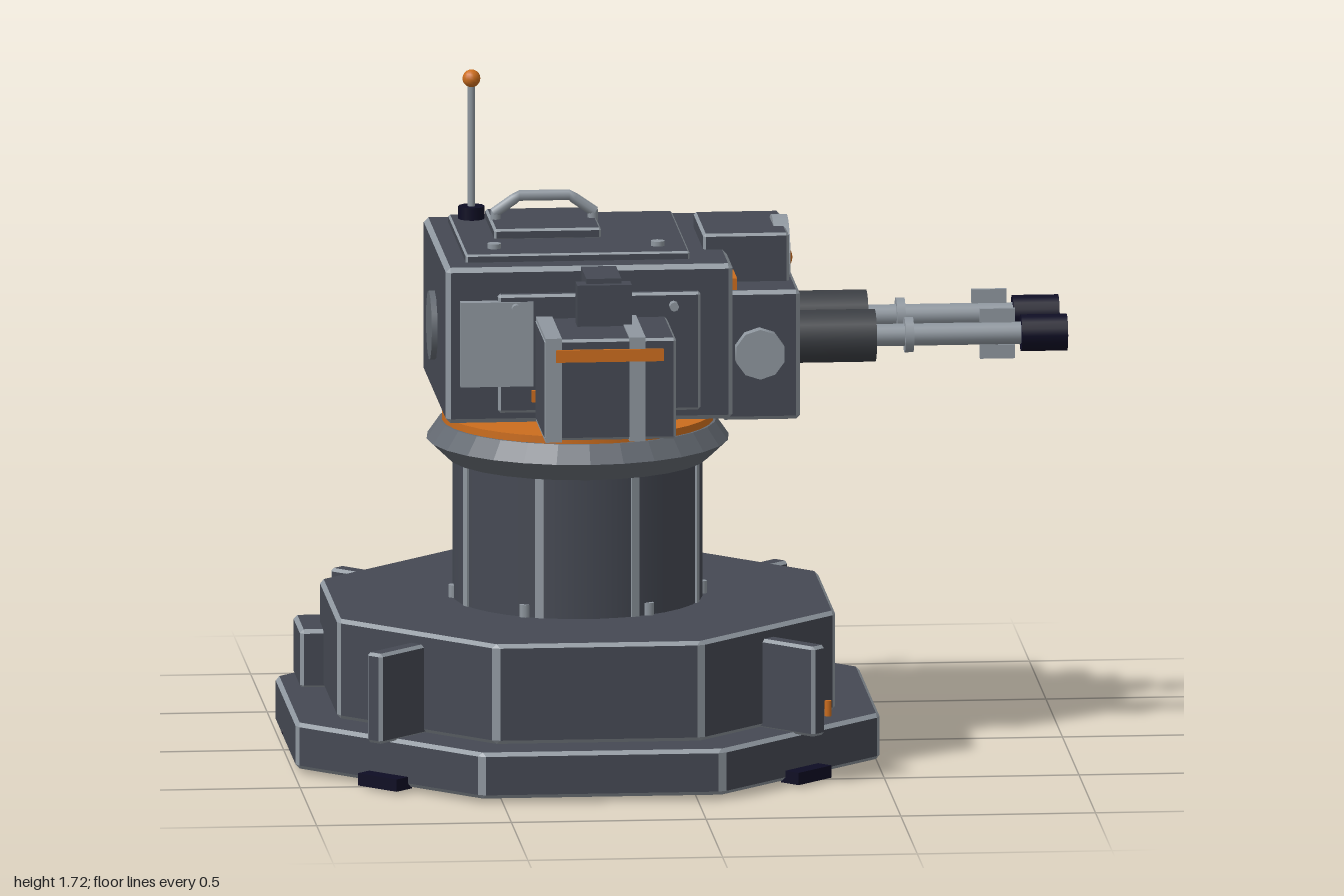
import * as THREE from 'three';

const mat = (name, color) => {
  const m = new THREE.MeshStandardMaterial({ color });
  m.name = name;
  return m;
};

// Prism over a convex inner outline [x, z], pushed out by c, with light chamfered edges.
function chamferPrism(outline, h, c, widen = 0) {
  const face = [], trim = [], n = outline.length;
  const quad = (l, a, b, d, e) => l.push(...a, ...b, ...d, ...a, ...d, ...e);
  const dir = i => {
    const p = outline[i % n], q = outline[(i + 1) % n];
    const len = Math.hypot(q[0] - p[0], q[1] - p[1]);
    return [(q[0] - p[0]) / len, (q[1] - p[1]) / len];
  };
  const corner = i => {
    i %= n;
    const [x, z] = outline[i], d0 = dir(i + n - 1), d1 = dir(i);
    const a = [x + d0[1] * c - d0[0] * widen, z - d0[0] * c - d0[1] * widen];
    const b = [x + d1[1] * c + d1[0] * widen, z - d1[0] * c + d1[1] * widen];
    const at = (p, y) => [p[0], y - h / 2, p[1]];
    return {
      a0: at(a, c), a1: at(a, h - c), b0: at(b, c), b1: at(b, h - c),
      o0: at([x, z], 0), o1: at([x, z], h)
    };
  };
  const first = corner(0);
  for (let i = 0; i < n; i++) {
    const p = corner(i), q = corner(i + 1);
    quad(face, p.b0, p.b1, q.a1, q.a0);
    if (i > 0 && i < n - 1) {
      face.push(...first.o1, ...q.o1, ...p.o1, ...first.o0, ...p.o0, ...q.o0);
    }
    quad(trim, p.a0, p.a1, p.b1, p.b0);
    quad(trim, p.b1, p.o1, q.o1, q.a1);
    quad(trim, p.o0, p.b0, q.a0, q.o0);
    trim.push(...p.a1, ...p.o1, ...p.b1, ...p.o0, ...p.a0, ...p.b0);
  }
  const g = new THREE.BufferGeometry();
  g.setAttribute('position', new THREE.Float32BufferAttribute([...face, ...trim], 3));
  g.addGroup(0, face.length / 3, 0);
  g.addGroup(face.length / 3, trim.length / 3, 1);
  g.computeVertexNormals();
  return g;
}

export function createModel() {
  const root = new THREE.Group();
  const hull = mat('dark hull', 0x454953), light = mat('light edge steel', 0x8f979f);
  const sleeveMat = mat('gun sleeve', 0x3b3e43), collarMat = mat('collar grey', 0x646a72);
  const orange = mat('orange', 0xcb6d1e), amber = mat('amber lens', 0x9a5412);
  const navy = mat('navy black', 0x0e0d24);
  const CX = -0.245;

  const add = (name, geo, m, x = 0, y = 0, z = 0, parent = root) => {
    const o = new THREE.Mesh(geo, m);
    o.name = name;
    o.position.set(x, y, z);
    parent.add(o);
    return o;
  };
  // Boxes are given by their extents
  const box = (name, m, x0, x1, y0, y1, z0, z1, parent) =>
    add(name, new THREE.BoxGeometry(x1 - x0, y1 - y0, z1 - z0), m,
      (x0 + x1) / 2, (y0 + y1) / 2, (z0 + z1) / 2, parent);
  const trimBox = (name, x0, x1, y0, y1, z0, z1, c = 0.01, parent = root) => {
    const a = (x1 - x0) / 2 - c, b = (z1 - z0) / 2 - c;
    return add(name, chamferPrism([[a, -b], [a, b], [-a, b], [-a, -b]], y1 - y0, c), [hull, light],
      (x0 + x1) / 2, (y0 + y1) / 2, (z0 + z1) / 2, parent);
  };
  const cyl = (name, m, r, len, x, y, z, axis = 'y', sides = 20) => {
    const g = new THREE.CylinderGeometry(r, r, len, sides);
    if (axis === 'x') g.rotateZ(-Math.PI / 2);
    if (axis === 'z') g.rotateX(Math.PI / 2);
    return add(name, g, m, x, y, z);
  };

  // Octagonal base in two steps
  const octagon = (name, apothem, y0, y1) => {
    const c = 0.01, r = (apothem - c) / Math.cos(Math.PI / 8);
    const pts = Array.from({ length: 8 }, (_, i) => {
      const t = (i + 0.5) * Math.PI / 4;
      return [r * Math.cos(t), r * Math.sin(t)];
    });
    add(name, chamferPrism(pts, y1 - y0, c, 0.008), [hull, light], CX, (y0 + y1) / 2, 0);
  };
  octagon('lowerBase', 0.75, 0.01, 0.13);
  octagon('upperBase', 0.64, 0.13, 0.39);

  // Diagonal gussets and feet
  for (let i = 0; i < 4; i++) {
    const arm = new THREE.Group();
    arm.name = 'baseBrace';
    arm.position.x = CX;
    arm.rotation.y = (i + 0.5) * Math.PI / 2;
    trimBox('gusset', 0.62, 0.81, 0.125, 0.36, -0.025, 0.025, 0.008, arm);
    box('foot', navy, 0.735, 0.795, 0.005, 0.037, -0.065, 0.065, arm);
    root.add(arm);
  }

  // Junction box, cable and indicator on the base
  trimBox('junctionBox', -0.945, -0.74, 0.125, 0.28, -0.36, -0.15);
  const cable = new THREE.CatmullRomCurve3([
    new THREE.Vector3(-0.99, 0.03, -0.09), new THREE.Vector3(-0.97, 0.012, -0.06),
    new THREE.Vector3(-0.88, 0.01, 0.05)]);
  add('cable', new THREE.TubeGeometry(cable, 10, 0.01, 6), navy);
  cyl('indicator', orange, 0.009, 0.04, 0.37, 0.15, 0.335, 'y', 8);

  // Column with ribs and foot bolts
  const column = cyl('column', hull, 0.32, 0.38, CX, 0.575, 0, 'y', 32);
  column.geometry.rotateY(Math.PI / 32);
  for (let i = 0; i < 8; i++) {
    const t = (i + 0.5) * Math.PI / 4;
    const rib = add('columnRib', new THREE.BoxGeometry(0.02, 0.37, 0.022), light,
      CX + 0.314 * Math.cos(t), 0.575, 0.314 * Math.sin(t));
    rib.rotation.y = -t;
  }
  for (let i = 0; i < 6; i++) {
    const t = i * Math.PI / 3;
    cyl('columnBolt', light, 0.014, 0.035, CX + 0.318 * Math.cos(t), 0.405, 0.318 * Math.sin(t), 'y', 8);
  }

  // Turning collar
  const profile = [[0, 0.755], [0.335, 0.755], [0.388, 0.805], [0.355, 0.852], [0, 0.852]];
  const collar = new THREE.LatheGeometry(profile.map(p => new THREE.Vector2(...p)), 28).toNonIndexed();
  collar.computeVertexNormals();
  add('collar', collar, collarMat, CX);
  cyl('collarRing', orange, 0.348, 0.022, CX, 0.86, 0, 'y', 36);

  // Turret head and roof
  trimBox('head', -0.612, 0.125, 0.91, 1.315, -0.345, 0.345, 0.012);
  trimBox('roofPlate', -0.555, 0.02, 1.31, 1.335, -0.27, 0.27, 0.005);
  trimBox('hatch', -0.465, -0.19, 1.33, 1.36, -0.21, 0.068, 0.006);
  for (const x of [-0.475, -0.055]) cyl('roofBolt', light, 0.018, 0.015, x, 1.34, 0.185, 'y', 10);
  const grip = new THREE.CurvePath();
  const gp = [[-0.455, 1.375], [-0.39, 1.42], [-0.26, 1.42], [-0.195, 1.375]]
    .map(p => new THREE.Vector3(p[0], p[1], -0.072));
  for (let i = 0; i < 3; i++) grip.add(new THREE.LineCurve3(gp[i], gp[i + 1]));
  add('hatchHandle', new THREE.TubeGeometry(grip, 18, 0.014, 8), light);
  for (const x of [-0.45, -0.2]) cyl('handlePost', light, 0.013, 0.03, x, 1.366, -0.072, 'y', 8);

  // Antenna
  cyl('antennaBase', navy, 0.034, 0.035, -0.5, 1.35, -0.21, 'y', 12);
  cyl('antennaRod', light, 0.01, 0.34, -0.5, 1.53, -0.21, 'y', 10);
  add('antennaTip', new THREE.SphereGeometry(0.023, 14, 10), orange, -0.5, 1.7, -0.21);

  // Side panels, vents, stripes and bolts on both sides
  for (const s of [-1, 1]) {
    const span = (a, b) => s > 0 ? [a, b] : [-b, -a];
    trimBox('sidePanel', -0.48, 0.04, 0.94, 1.248, ...span(0.335, 0.368), 0.007);
    box('sideVent', light, -0.577, -0.39, 1.01, 1.23, ...span(0.335, 0.373));
    box('sideStripe', orange, -0.395, -0.04, 0.97, 1.0, ...span(0.366, 0.384));
    for (const x of [-0.435, -0.03]) cyl('panelBolt', light, 0.012, 0.03, x, 1.215, s * 0.38, 'z', 8);
    cyl('trunnionCap', light, 0.065, 0.04, 0.198, 1.07, s * 0.29, 'z', 10);
  }
  cyl('rearCap', collarMat, 0.09, 0.03, -0.612, 1.1, 0, 'x', 12);

  // Gun mantlet and sensor
  trimBox('mantlet', 0.1, 0.303, 0.893, 1.23, -0.275, 0.275, 0.01);
  trimBox('sensorHousing', 0.065, 0.285, 1.2, 1.355, -0.15, 0.15, 0.007);
  box('frontStripe', orange, 0.12, 0.142, 1.232, 1.262, 0.152, 0.268);
  const tube = new THREE.LatheGeometry([[0.085, -0.02], [0.108, -0.02], [0.108, 0.02], [0.085, 0.02], [0.085, -0.02]]
    .map(p => new THREE.Vector2(...p)), 24).toNonIndexed();
  tube.computeVertexNormals();
  tube.rotateZ(-Math.PI / 2);
  add('sensorRing', tube, light, 0.273, 1.265, 0);
  cyl('sensorLens', amber, 0.086, 0.02, 0.278, 1.265, 0, 'x', 24);
  add('sensorEye', new THREE.SphereGeometry(0.035, 16, 12), orange, 0.275, 1.262, 0).scale.x = 0.9;

  // Twin guns
  for (const z of [-0.128, 0.128]) {
    cyl('gunSleeve', sleeveMat, 0.068, 0.215, 0.4, 1.08, z, 'x', 20);
    cyl('barrel', light, 0.029, 0.42, 0.69, 1.08, z, 'x', 16);
    cyl('barrelRing', light, 0.046, 0.022, 0.594, 1.08, z, 'x', 16);
    for (const s of [-1, 1]) {
      add('barrelFin', new THREE.BoxGeometry(0.09, 0.036, 0.012), light, 0.822, 1.08 + s * 0.047, z);
    }
    cyl('muzzle', navy, 0.048, 0.118, 0.941, 1.08, z, 'x', 16);
  }

  // Ammunition box with straps and feed chute
  trimBox('ammoBox', -0.388, -0.05, 0.93, 1.193, 0.4, 0.69, 0.007);
  for (const x of [-0.365, -0.15]) box('ammoStrap', light, x - 0.021, x + 0.021, 0.926, 1.197, 0.398, 0.693);
  box('ammoStripe', orange, -0.36, -0.083, 1.135, 1.167, 0.688, 0.698);
  box('feedChute', hull, -0.265, -0.175, 1.243, 1.313, 0.335, 0.5);
  box('feedElbow', hull, -0.29, -0.15, 1.19, 1.3, 0.467, 0.521);

  return root;
}
